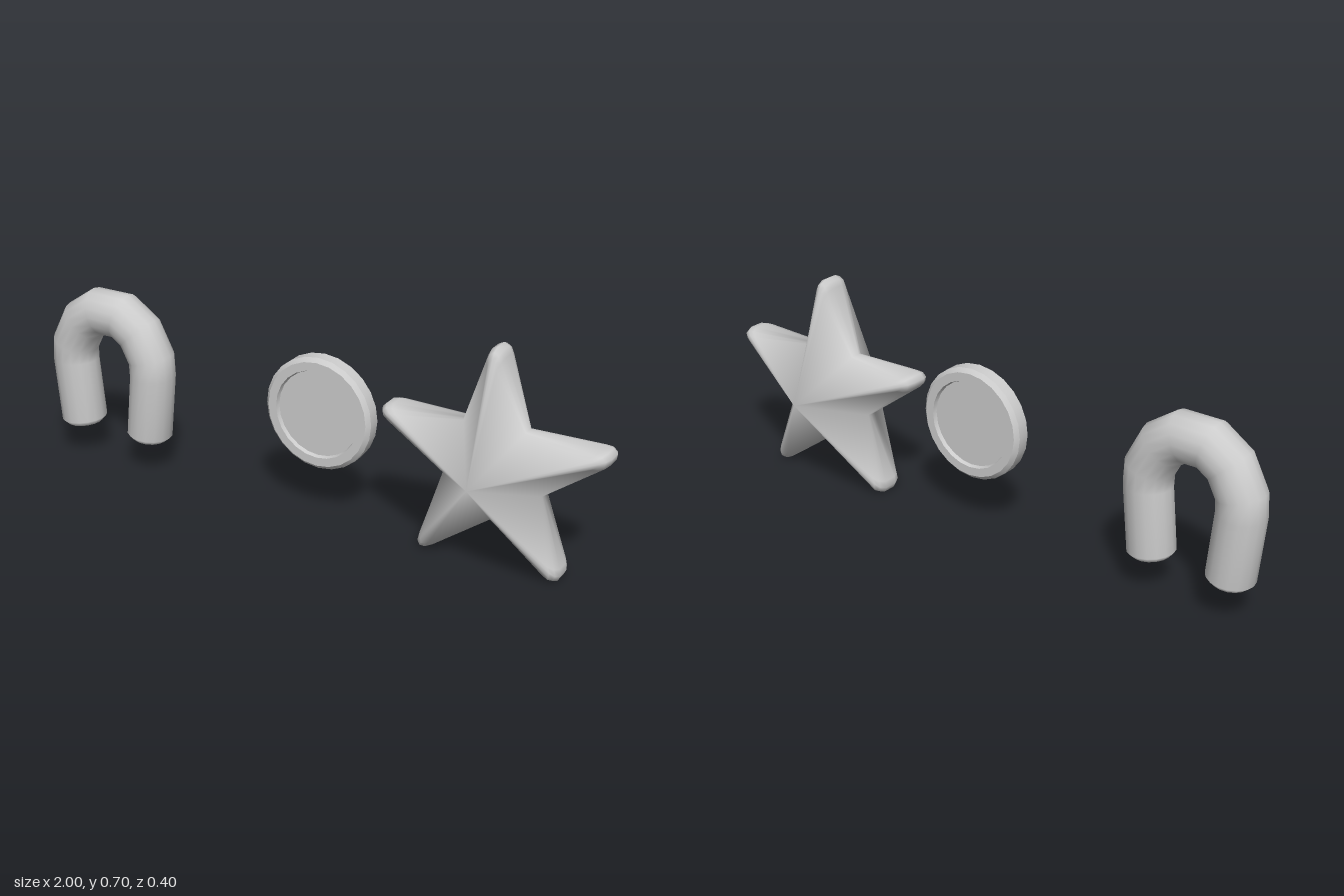
import * as THREE from 'three';
import { toCreasedNormals } from 'three/addons/utils/BufferGeometryUtils.js';

const material = new THREE.MeshStandardMaterial({ color: 0xcccccc });

// Skin through equal-length rings, closed by a pole point at each end.
// Rings run counter-clockwise about the direction of travel.
function loft(startPole, rings, endPole) {
  const n = rings[0].length;
  const points = [startPole, ...rings.flat(), endPole];
  const last = points.length - 1;
  const index = [];
  const at = (r, i) => 1 + r * n + (i % n);
  for (let i = 0; i < n; i++) {
    index.push(0, at(0, i + 1), at(0, i));
    for (let r = 0; r < rings.length - 1; r++) {
      const a = at(r, i), b = at(r, i + 1), c = at(r + 1, i + 1), d = at(r + 1, i);
      index.push(a, b, c, a, c, d);
    }
    index.push(last, at(rings.length - 1, i), at(rings.length - 1, i + 1));
  }
  const geometry = new THREE.BufferGeometry().setFromPoints(points);
  geometry.setIndex(index);
  geometry.computeVertexNormals();
  return geometry;
}

function part(name, geometry, x, y) {
  const mesh = new THREE.Mesh(geometry, material);
  mesh.name = name;
  mesh.position.set(x, y, 0);
  return mesh;
}

// Bent round bar with softly rounded ends
function horseshoeGeometry() {
  const half = [[0.136, 0.13], [0.157, 0.34], [0.154, 0.4], [0.112, 0.482], [0.046, 0.527]];
  const path = [
    ...half.map(([x, y]) => new THREE.Vector3(-x, y, 0)),
    ...half.map(([x, y]) => new THREE.Vector3(x, y, 0)).reverse(),
  ];
  const radius = 0.076, sides = 16, count = path.length;
  const direction = (a, b) => path[b].clone().sub(path[a]).normalize();

  const ring = (center, tangent, wide, deep) => {
    const normal = new THREE.Vector3(-tangent.y, tangent.x, 0);
    return Array.from({ length: sides }, (_, i) => {
      const angle = (i / sides) * Math.PI * 2;
      return center.clone()
        .addScaledVector(normal, Math.cos(angle) * wide)
        .add(new THREE.Vector3(0, 0, Math.sin(angle) * deep));
    });
  };

  const rings = path.map((p, i) => {
    const before = direction(Math.max(i - 1, 0), Math.max(i, 1));
    const after = direction(Math.min(i, count - 2), Math.min(i + 1, count - 1));
    const tangent = before.clone().add(after).normalize();
    return ring(p, tangent, radius / tangent.dot(before), radius);
  });

  const first = direction(0, 1), final = direction(count - 2, count - 1);
  const start = path[0].clone().addScaledVector(first, -0.018);
  const end = path[count - 1].clone().addScaledVector(final, 0.018);
  rings.unshift(ring(start, first, 0.058, 0.058));
  rings.push(ring(end, final, 0.058, 0.058));
  return loft(start, rings, end);
}

// Coin with a chamfered rim and a recessed face on both sides
function coinGeometry() {
  const half = [[0, 0.02], [0.142, 0.02], [0.146, 0.033], [0.174, 0.033], [0.187, 0.02]];
  const profile = [
    ...half.map(([r, h]) => new THREE.Vector2(r, -h)),
    ...half.map(([r, h]) => new THREE.Vector2(r, h)).reverse(),
  ];
  return toCreasedNormals(new THREE.LatheGeometry(profile, 24), 0.5).rotateX(Math.PI / 2);
}

// Five-armed star: thick blunt tips, thin valleys, a peak on each side
function starGeometry() {
  const tip = [[0.36, 0.028], [0.38, 0.018], [0.389, 0]];
  const arm = [...tip.map(([u, v]) => [u, -v]), ...tip.slice(0, 2).reverse()];
  // z fraction and amount the outline is drawn in
  const layers = [[-1, 1], [-0.8, 0.4], [-0.4, 0.05], [0.4, 0.05], [0.8, 0.4], [1, 1]];

  const rings = layers.map(([depth, inset]) => {
    const ring = [];
    for (let k = 0; k < 5; k++) {
      const angle = Math.PI / 2 + (k * Math.PI * 2) / 5;
      const add = (u, v, z) => ring.push(new THREE.Vector3(
        u * Math.cos(angle) - v * Math.sin(angle),
        u * Math.sin(angle) + v * Math.cos(angle), z));
      for (const [u, v] of arm) add(u - 0.03 * inset, v * (1 - 0.45 * inset), depth * 0.056);
      const valley = 0.173 - 0.006 * inset;
      add(valley * Math.cos(Math.PI / 5), valley * Math.sin(Math.PI / 5), depth * 0.024);
    }
    return ring;
  });
  return loft(new THREE.Vector3(0, 0, -0.198), rings, new THREE.Vector3(0, 0, 0.198));
}

export function createModel() {
  const group = new THREE.Group();
  group.name = 'luckyCharms';
  group.add(
    part('horseshoe', horseshoeGeometry(), -0.767, 0),
    part('coin', coinGeometry(), 0.032, 0.356),
    part('star', starGeometry(), 0.628, 0.315),
  );
  return group;
}
